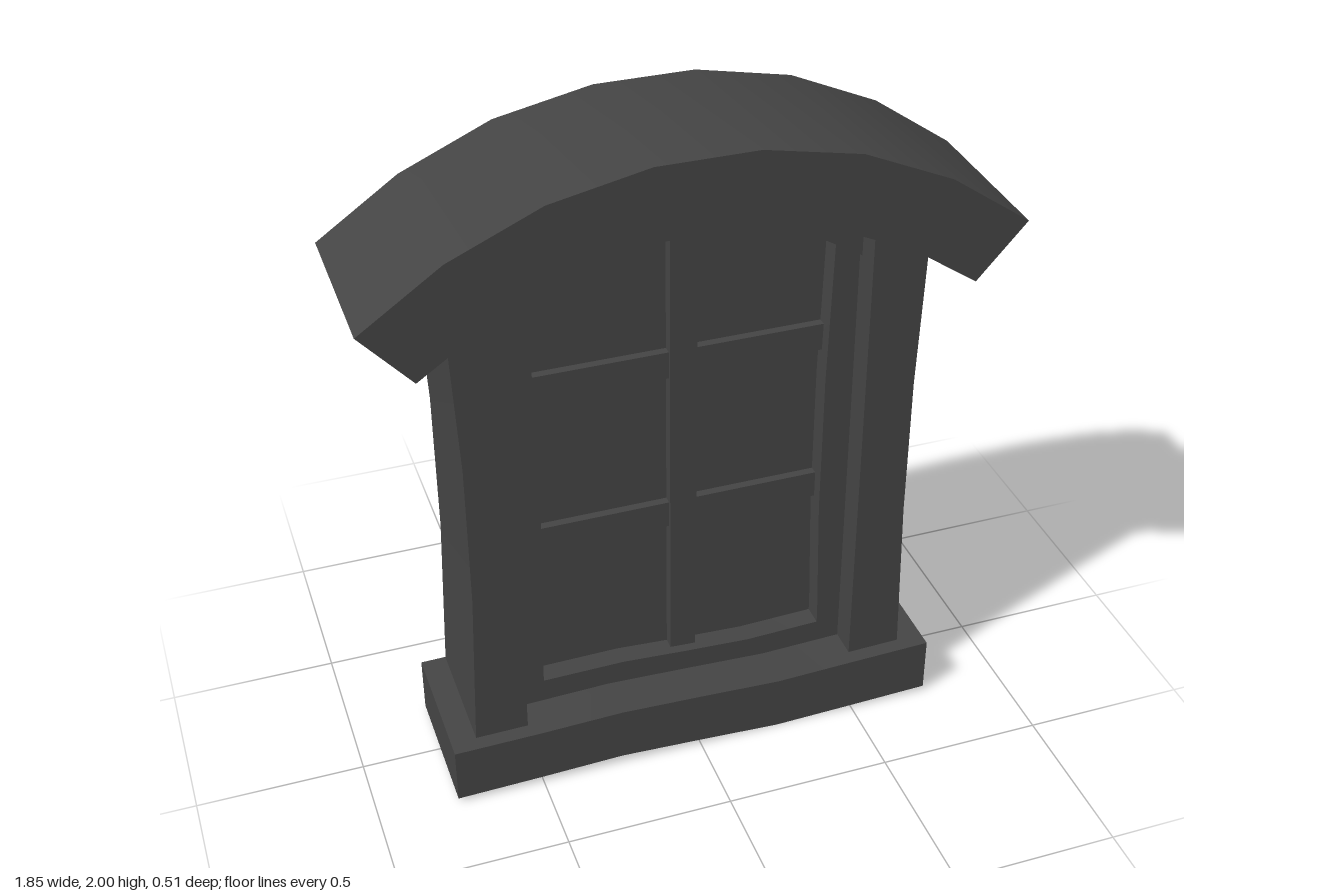
import * as THREE from 'three';
import { toCreasedNormals } from 'three/addons/utils/BufferGeometryUtils.js';

const material = new THREE.MeshStandardMaterial({ color: 0x444444 });

// Solid slab from a front outline, between two depths; gentle curves stay smooth
function slab(name, points, back, front) {
  const shape = new THREE.Shape(points.map(([x, y]) => new THREE.Vector2(x, y)));
  const geometry = new THREE.ExtrudeGeometry(shape, { depth: front - back, bevelEnabled: false });
  geometry.translate(0, 0, back);
  const mesh = new THREE.Mesh(toCreasedNormals(geometry, 0.6), material);
  mesh.name = name;
  return mesh;
}

// Rectangle outline
const rect = (x0, y0, x1, y1) => [[x0, y0], [x1, y0], [x1, y1], [x0, y1]];

// Full symmetric arc from its left half
const mirrorArc = (half, cx = 0) =>
  [...half, ...half.map(([x, y]) => [2 * cx - x, y]).reverse()];

export function createModel() {
  const model = new THREE.Group();
  model.name = 'archedWindow';

  // Curved hood over the window
  const hoodTop = mirrorArc([[-0.927, 1.66], [-0.69, 1.825], [-0.427, 1.942], [-0.145, 2]]);
  const hoodUnder = mirrorArc([[-0.783, 1.497], [-0.585, 1.632], [-0.36, 1.733], [-0.12, 1.785]]);
  model.add(slab('hood', [...hoodTop, ...hoodUnder.reverse()], -0.256, 0.256));

  // Arched header beneath the hood
  const headerUnder = [
    [-0.528, 1.545], [-0.42, 1.615], [-0.29, 1.67], [-0.1, 1.708],
    [0.08, 1.708], [0.265, 1.672], [0.395, 1.62], [0.503, 1.555],
  ];
  const headerTop = mirrorArc([[-0.528, 1.68], [-0.36, 1.75], [-0.12, 1.8]], -0.0125);
  model.add(slab('header', [...headerUnder, ...headerTop.reverse()], -0.135, 0.115));

  // Slightly warped base
  model.add(slab('base', [
    [-0.762, 0.012], [-0.5, 0.018], [-0.25, 0.026], [0, 0.014], [0.25, 0], [0.5, 0.007], [0.747, 0.015],
    [0.747, 0.193], [0.5, 0.186], [0.25, 0.178], [0, 0.19], [-0.25, 0.2], [-0.5, 0.193], [-0.762, 0.19],
  ], -0.192, 0.237));

  // Bowed posts
  model.add(slab('rightPost', [
    [-0.687, 0.17], [-0.528, 0.17], [-0.528, 0.3], [-0.512, 0.7], [-0.512, 1.15], [-0.528, 1.66],
    [-0.528, 1.69], [-0.687, 1.6], [-0.667, 1.15], [-0.667, 0.7],
  ], -0.188, 0.19));
  model.add(slab('leftPost', [
    [0.503, 0.17], [0.667, 0.17], [0.653, 0.7], [0.653, 1.15], [0.667, 1.6], [0.503, 1.69],
  ], -0.188, 0.19));

  // Inner frame: jambs and sill
  model.add(slab('rightJamb', [
    [-0.54, 0.17], [-0.45, 0.17], [-0.45, 0.3], [-0.436, 0.7], [-0.436, 1.15], [-0.45, 1.64], [-0.54, 1.64],
  ], -0.115, 0.1));
  model.add(slab('leftJamb', [
    [0.52, 0.17], [0.52, 1.64], [0.43, 1.64], [0.418, 1.15], [0.418, 0.7], [0.43, 0.3], [0.43, 0.17],
  ], -0.115, 0.1));
  model.add(slab('sill', [
    [-0.46, 0.16], [0.44, 0.16], [0.44, 0.258], [0.2, 0.25], [0, 0.26], [-0.2, 0.273], [-0.46, 0.27],
  ], -0.115, 0.1));

  // Pane
  model.add(slab('pane', [
    [-0.47, 0.22], [0.45, 0.22], [0.45, 1.62], [0.28, 1.71], [-0.3, 1.71], [-0.47, 1.62],
  ], 0.02, 0.035));

  // Glazing bars
  model.add(slab('mullion', rect(-0.04, 0.24, 0.04, 1.73), -0.015, 0.07));
  for (const y of [0.72, 1.235]) {
    model.add(slab('crossBar', rect(-0.445, y, 0.425, y + 0.085), -0.005, 0.06));
  }

  return model;
}
